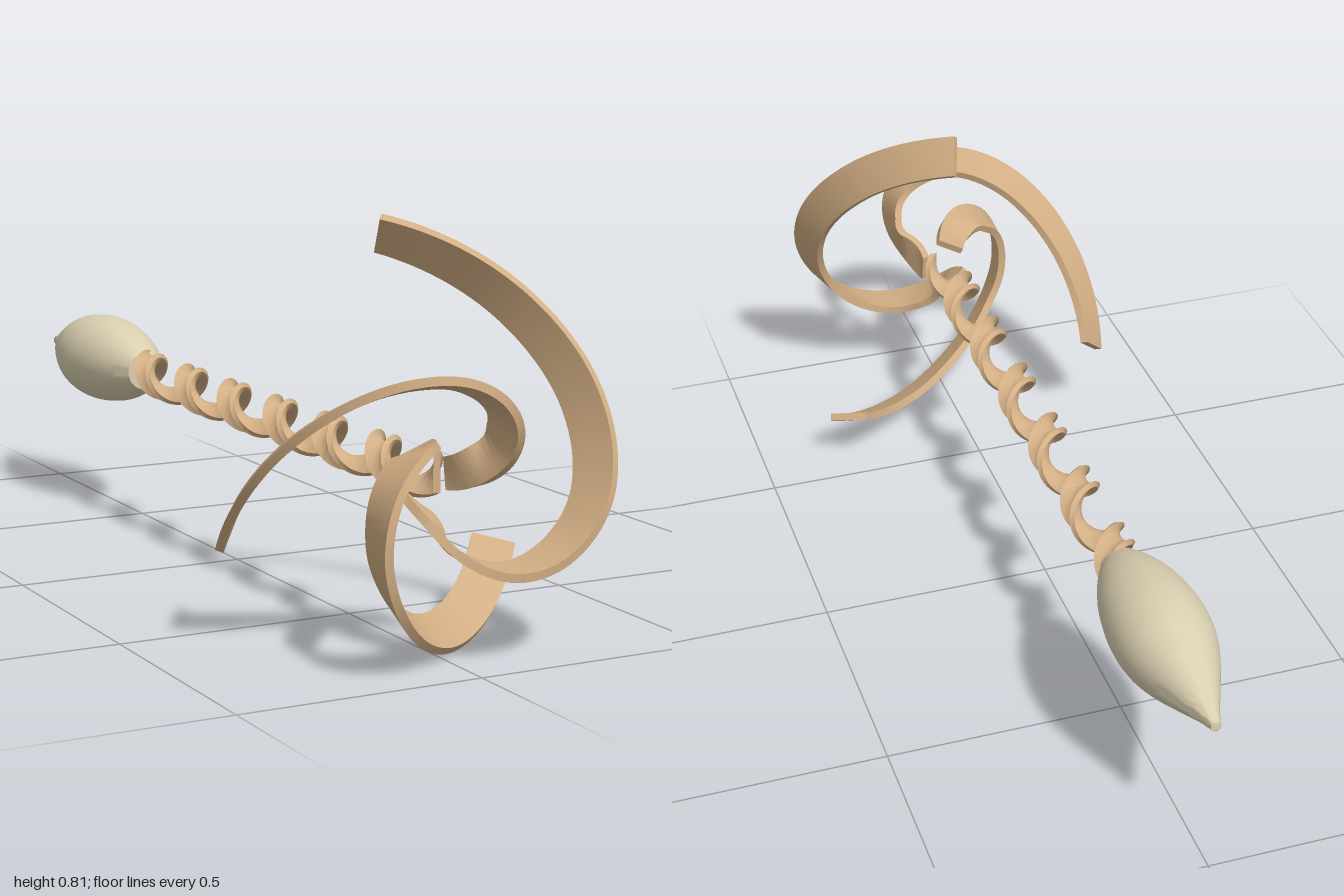
import * as THREE from 'three';
import { toCreasedNormals } from 'three/addons/utils/BufferGeometryUtils.js';

const WOOD = new THREE.MeshStandardMaterial({ color: 0xd2ae84 });
const PALE = new THREE.MeshStandardMaterial({ color: 0xdacfb0 });

// Skins a list of four-cornered rings and closes both ends.
// The two wide sides (corners 0-1 and 2-3) are subdivided so twists stay smooth.
function sweep(rings) {
  const cuts = 6, n = 2 * (cuts + 1);
  const pos = [], index = [];
  for (const ring of rings) {
    for (const side of [0, 2]) {
      for (let j = 0; j <= cuts; j++) {
        const p = ring[side].clone().lerp(ring[side + 1], j / cuts);
        pos.push(p.x, p.y, p.z);
      }
    }
  }
  const quad = (a, b, c, d) => index.push(a, b, c, a, c, d);
  for (let i = 0; i < rings.length - 1; i++) {
    for (let k = 0; k < n; k++) {
      const a = i * n + k, b = i * n + ((k + 1) % n);
      quad(a, b, b + n, a + n);
    }
  }
  const e = (rings.length - 1) * n;
  for (let j = 0; j < cuts; j++) {
    quad(n - 1 - j, n - 2 - j, j + 1, j);
    quad(e + j, e + j + 1, e + n - 2 - j, e + n - 1 - j);
  }
  const g = new THREE.BufferGeometry();
  g.setAttribute('position', new THREE.Float32BufferAttribute(pos, 3));
  g.setIndex(index);
  return toCreasedNormals(g, 0.7);
}

// Flat bar set off the axis and twisted along it
function twistedShaft() {
  const z0 = -0.48, z1 = 0.8, pitch = 0.215, steps = 260;
  const section = [[0.031, -0.04], [0.031, 0.04], [0.015, 0.04], [0.015, -0.04]];
  const rings = [];
  for (let i = 0; i <= steps; i++) {
    const z = z0 + ((z1 - z0) * i) / steps;
    const a = ((z - z1) / pitch) * Math.PI * 2;
    const c = Math.cos(a), s = Math.sin(a);
    rings.push(section.map(([x, y]) => new THREE.Vector3(x * c - y * s, x * s + y * c, z)));
  }
  return sweep(rings);
}

// Front edge of a blade from root to tip, every 30 degrees:
// radius, z, inward lean of the blade's width
const BLADE = new THREE.CatmullRomCurve3([
  [0.075, 0.81, -0.035], [0.1, 0.9, -0.025], [0.142, 0.96, -0.014],
  [0.196, 0.995, -0.004], [0.252, 1.0, -0.012], [0.308, 0.975, -0.026],
  [0.364, 0.885, -0.04], [0.416, 0.74, -0.052], [0.465, 0.57, -0.062],
].map((p) => new THREE.Vector3(...p)), false, 'catmullrom', 0.5);

// Curling ribbon blade
function spiralBlade(tipDegrees, scale) {
  const width = 0.09, thick = 0.017, steps = 110, h = 0.002;
  const at = (u) => {
    const t = THREE.MathUtils.clamp(u, 0, 1);
    const p = BLADE.getPoint(t);
    const a = THREE.MathUtils.degToRad(tipDegrees - 240 * (1 - t));
    const out = new THREE.Vector3(Math.cos(a), Math.sin(a), 0);
    const point = out.clone().multiplyScalar(p.x * scale).setZ(p.y);
    return { point, out, lean: p.z };
  };
  const rings = [];
  for (let i = 0; i <= steps; i++) {
    const t = i / steps;
    const { point, out, lean } = at(t);
    const tangent = at(t + h).point.sub(at(t - h).point).normalize();
    const w = out.clone().multiplyScalar(lean).setZ(-Math.sqrt(width * width - lean * lean));
    w.addScaledVector(tangent, -w.dot(tangent));
    // the blade narrows a little where it meets the shaft
    w.setLength(width * THREE.MathUtils.lerp(0.7, 1, Math.min(1, t * 4)));
    const n = w.clone().cross(tangent).setLength(thick);
    const back = point.clone().add(w);
    rings.push([point, back, back.clone().sub(n), point.clone().sub(n)]);
  }
  return sweep(rings);
}

// Pointed bulb handle, turned about the long axis
function bulbHandle() {
  const outline = new THREE.SplineCurve([
    [0.042, 0.47], [0.066, 0.52], [0.088, 0.59], [0.1, 0.68], [0.095, 0.76],
    [0.075, 0.83], [0.047, 0.9], [0.024, 0.955], [0.014, 0.985], [0.011, 0.997],
  ].map((p) => new THREE.Vector2(...p)));
  const profile = [new THREE.Vector2(0, 0.47), ...outline.getPoints(36), new THREE.Vector2(0, 1)];
  const g = new THREE.LatheGeometry(profile, 40);
  g.rotateX(-Math.PI / 2);
  return toCreasedNormals(g, 0.7);
}

export function createModel() {
  const model = new THREE.Group();
  model.name = 'spiralWhisk';

  const body = new THREE.Group();
  body.name = 'body';
  body.position.set(-0.004, 0.34, 0);
  model.add(body);

  const add = (name, geometry, material) => {
    const mesh = new THREE.Mesh(geometry, material);
    mesh.name = name;
    body.add(mesh);
  };
  add('bulbHandle', bulbHandle(), PALE);
  add('twistedShaft', twistedShaft(), WOOD);

  // Three blades a third of a turn apart, each with its own spread
  [['largeBlade', 1], ['smallBlade', 0.785], ['middleBlade', 0.895]].forEach(([name, scale], i) => {
    add(name, spiralBlade(86.3 + 120 * i, scale), WOOD);
  });
  return model;
}
